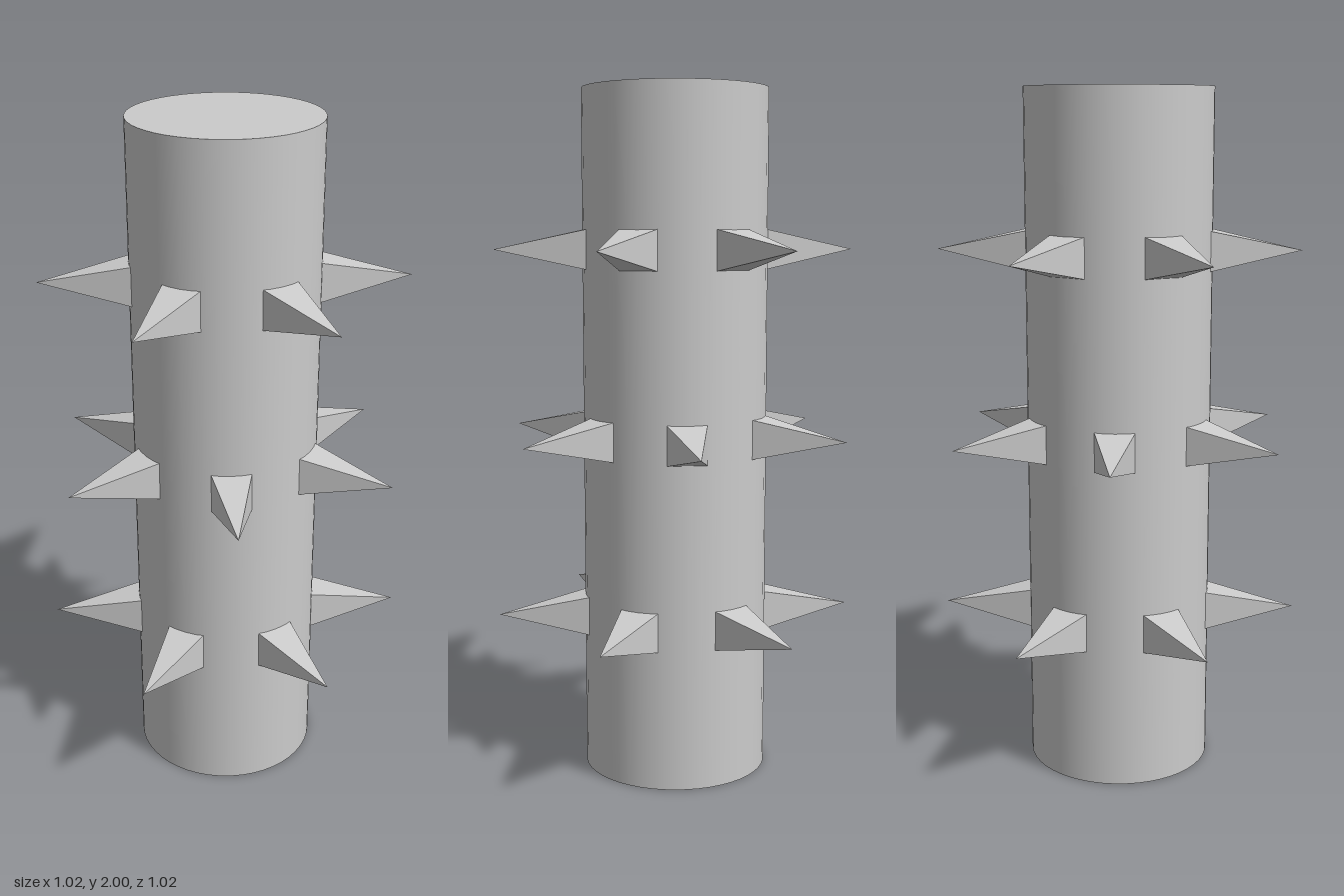
import * as THREE from 'three';

const RADIUS = 0.27, HEIGHT = 2;
const SPIKE_BASE = 0.25, SPIKE_TIP = 0.527, SPIKE_HALF_WIDTH = 0.06;

export function createModel() {
  const model = new THREE.Group();
  model.name = 'spikedPillar';
  const smooth = new THREE.MeshStandardMaterial({ color: 0xcccccc, side: THREE.DoubleSide });
  const flat = new THREE.MeshStandardMaterial({ color: 0xcccccc, flatShading: true });

  // Hollow pillar, closed on top and open underneath
  const wall = new THREE.Mesh(new THREE.CylinderGeometry(RADIUS, RADIUS, HEIGHT, 48, 1, true), smooth);
  wall.name = 'pillarWall';
  wall.position.y = HEIGHT / 2;
  const cap = new THREE.Mesh(new THREE.CircleGeometry(RADIUS, 48).rotateX(-Math.PI / 2), smooth);
  cap.name = 'pillarTop';
  cap.position.y = HEIGHT;
  model.add(wall, cap);

  // Square pyramid pointing along +z, its base sunk just below the wall
  const length = SPIKE_TIP - SPIKE_BASE;
  const spikeGeometry = new THREE.ConeGeometry(SPIKE_HALF_WIDTH * Math.SQRT2, length, 4)
    .rotateY(Math.PI / 4)
    .rotateX(Math.PI / 2)
    .translate(0, 0, SPIKE_BASE + length / 2);

  // Three rings of six spikes, the middle ring staggered
  [[0.465, -15], [1.003, 15], [1.543, -15]].forEach(([y, offset]) => {
    const ring = new THREE.Group();
    ring.name = 'spikeRing';
    ring.position.y = y;
    for (let i = 0; i < 6; i++) {
      const spike = new THREE.Mesh(spikeGeometry, flat);
      spike.name = 'spike';
      spike.rotation.y = THREE.MathUtils.degToRad(offset + i * 60);
      ring.add(spike);
    }
    model.add(ring);
  });

  return model;
}
